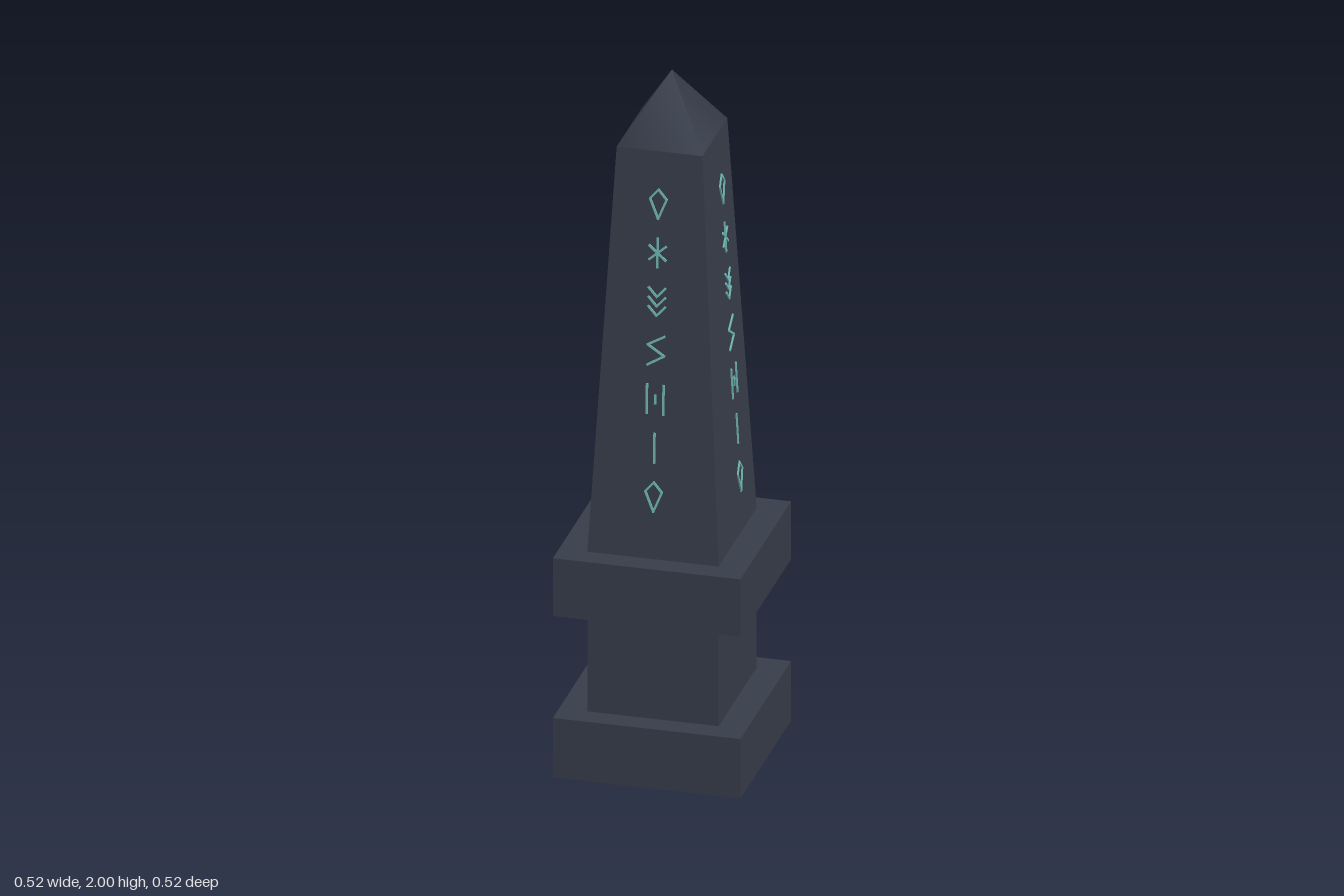
import * as THREE from 'three';
import { mergeGeometries } from 'three/addons/utils/BufferGeometryUtils.js';

const stone = new THREE.MeshStandardMaterial({ color: 0x373d4a });
stone.name = 'darkStone';
const glow = new THREE.MeshStandardMaterial({ color: 0x70b8b4 });
glow.name = 'paleTeal';

// Box tapering from bottom half-sizes to top half-sizes
function taperedBlock(name, y0, y1, [bx, bz], [tx, tz] = [bx, bz]) {
  const geo = new THREE.BoxGeometry(2, y1 - y0, 2);
  const p = geo.attributes.position;
  for (let i = 0; i < p.count; i++) {
    const top = p.getY(i) > 0;
    p.setX(i, p.getX(i) * (top ? tx : bx));
    p.setZ(i, p.getZ(i) * (top ? tz : bz));
  }
  geo.translate(0, (y0 + y1) / 2, 0);
  geo.computeVertexNormals();
  const mesh = new THREE.Mesh(geo, stone);
  mesh.name = name;
  return mesh;
}

// Thin straight inlay between two points on the face plane
function stroke([x0, y0, x1, y1]) {
  const dx = x1 - x0, dy = y1 - y0;
  const geo = new THREE.BoxGeometry(Math.hypot(dx, dy) + 0.004, 0.006, 0.004);
  geo.rotateZ(Math.atan2(dy, dx));
  geo.translate((x0 + x1) / 2, (y0 + y1) / 2, 0);
  return geo;
}

// Joins consecutive points into strokes
const path = (...pts) => pts.slice(1).map((p, i) => [...pts[i], ...p]);

// Abstract geometric ornaments, about 0.05 wide and 0.09 high
const W = 0.023, H = 0.042;
const kite = path([0, H], [W, 0.015], [0, -H], [-W, 0.015], [0, H]);
const star = [[0, -H, 0, H], [-W, 0.02, W, -0.02], [-W, -0.02, W, 0.02]];
const chevrons = [0.04, 0.013, -0.014].flatMap(y => path([-W, y], [0, y - 0.026], [W, y]));
const zigzag = path([W, H], [-W, 0.016], [W, -0.014], [-W, -H]);
const bars = [[-W, -H, -W, H], [W, -H, W, H], [0, -0.012, 0, 0.012]];
const bar = [[0, -H, 0, H]];
const ornaments = [kite, star, chevrons, zigzag, bars, bar, kite];

// One column of ornaments following the slope of the shaft
function ornamentColumn() {
  const slope = 0.059;
  const parts = ornaments.map((strokes, i) => {
    const y = 1.665 - i * 0.14;
    const geo = mergeGeometries(strokes.map(stroke));
    geo.rotateX(-Math.atan(slope));
    geo.translate(0, y, 0.191 - (y - 0.8) * slope);
    return geo;
  });
  return mergeGeometries(parts);
}

export function createModel() {
  const model = new THREE.Group();
  model.name = 'obelisk';

  // Stepped pedestal and tapering shaft
  model.add(
    taperedBlock('basePlinth', 0, 0.175, [0.26, 0.26]),
    taperedBlock('pedestal', 0.175, 0.475, [0.182, 0.195]),
    taperedBlock('upperPlinth', 0.475, 0.645, [0.26, 0.26]),
    taperedBlock('shaft', 0.645, 1.815, [0.182, 0.195], [0.119, 0.127])
  );

  // Softly shaded four-sided cap
  const capGeo = new THREE.ConeGeometry(Math.SQRT2, 0.185, 4);
  capGeo.rotateY(Math.PI / 4);
  capGeo.scale(0.119, 1, 0.127);
  capGeo.translate(0, 1.815 + 0.0925, 0);
  const cap = new THREE.Mesh(capGeo, stone);
  cap.name = 'pyramidCap';
  model.add(cap);

  // Inlaid ornaments on all four faces
  const column = ornamentColumn();
  ['front', 'left', 'back', 'right'].forEach((side, i) => {
    const mesh = new THREE.Mesh(column, glow);
    mesh.name = side + 'Ornaments';
    mesh.rotation.y = i * Math.PI / 2;
    model.add(mesh);
  });

  return model;
}
